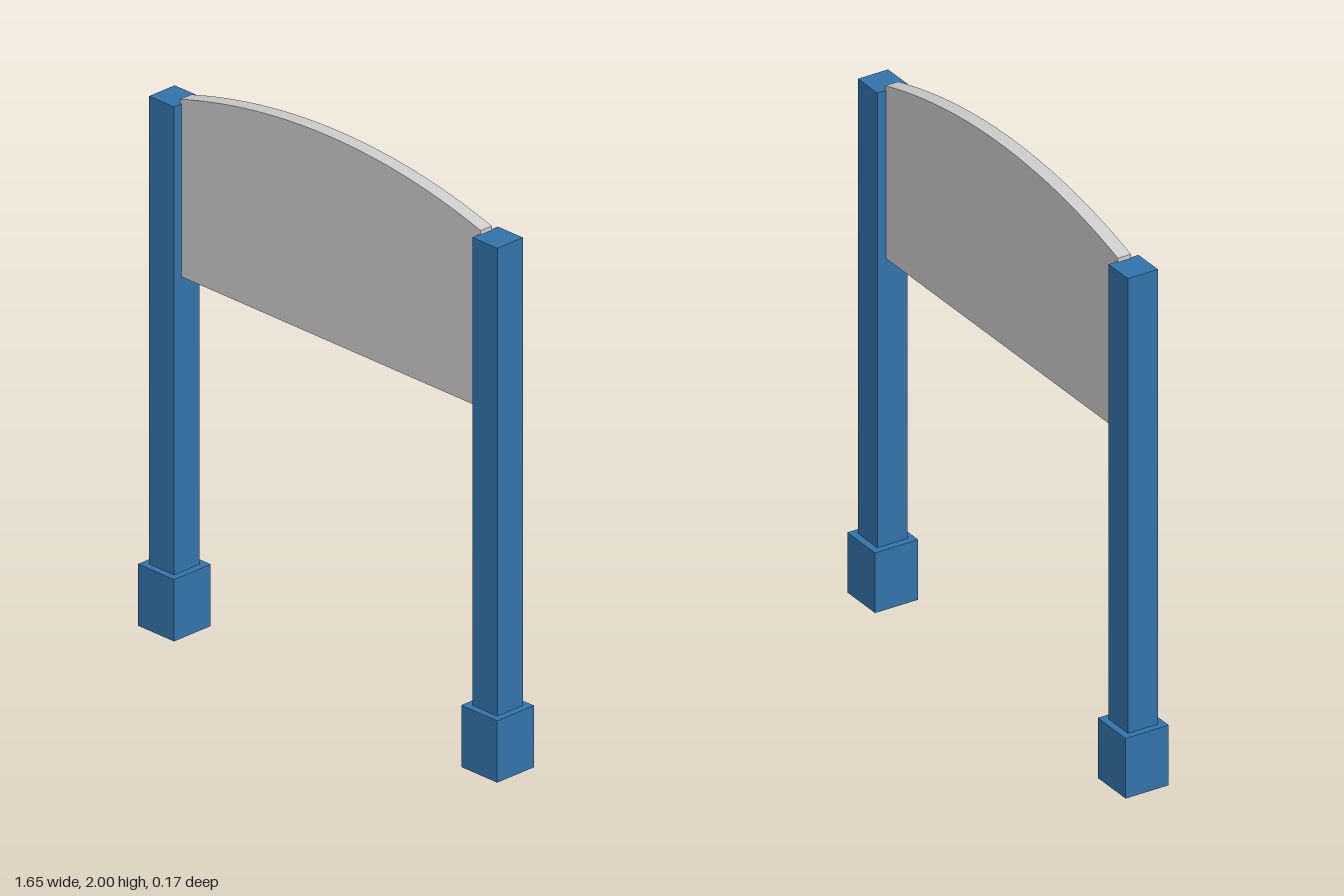
import * as THREE from 'three';

// Square outline, optionally added as a hole
function square(PathType, size) {
  const h = size / 2;
  return new PathType([
    new THREE.Vector2(-h, -h), new THREE.Vector2(h, -h),
    new THREE.Vector2(h, h), new THREE.Vector2(-h, h),
  ]);
}

export function createModel() {
  const model = new THREE.Group();
  model.name = 'signBoard';
  const blue = new THREE.MeshStandardMaterial({ color: 0x3273ab, flatShading: true });
  const grey = new THREE.MeshStandardMaterial({ color: 0xcccccc, flatShading: true });

  const postX = 0.742, postWidth = 0.115, postTop = 1.885, postBottom = 0.03;
  const baseWidth = 0.165, baseHeight = 0.22;

  // Hollow square sleeve around the foot of each post
  const ring = square(THREE.Shape, baseWidth);
  ring.holes.push(square(THREE.Path, postWidth));
  const baseGeometry = new THREE.ExtrudeGeometry(ring, { depth: baseHeight, bevelEnabled: false });
  baseGeometry.rotateX(-Math.PI / 2);

  const postGeometry = new THREE.BoxGeometry(postWidth, postTop - postBottom, postWidth);
  postGeometry.translate(0, (postTop + postBottom) / 2, 0);

  for (const [side, name] of [[1, 'left'], [-1, 'right']]) {
    const post = new THREE.Mesh(postGeometry, blue);
    post.name = name + 'Post';
    post.position.x = side * postX;
    const base = new THREE.Mesh(baseGeometry, blue);
    base.name = name + 'PostBase';
    base.position.x = side * postX;
    model.add(post, base);
  }

  // Panel with a shallow circular arch along its top
  const half = 0.69, bottom = 1.27, shoulder = 1.9, crown = 2, thickness = 0.05;
  const rise = crown - shoulder;
  const radius = (half * half + rise * rise) / (2 * rise);
  const angle = Math.asin(half / radius);
  const outline = new THREE.Shape();
  outline.moveTo(-half, bottom);
  outline.lineTo(half, bottom);
  outline.lineTo(half, shoulder);
  outline.absarc(0, crown - radius, radius, Math.PI / 2 - angle, Math.PI / 2 + angle, false);
  outline.closePath();
  const panelGeometry = new THREE.ExtrudeGeometry(outline, {
    depth: thickness, bevelEnabled: false, curveSegments: 32,
  });
  panelGeometry.translate(0, 0, -thickness / 2);
  const panel = new THREE.Mesh(panelGeometry, grey);
  panel.name = 'archedPanel';
  model.add(panel);

  return model;
}
